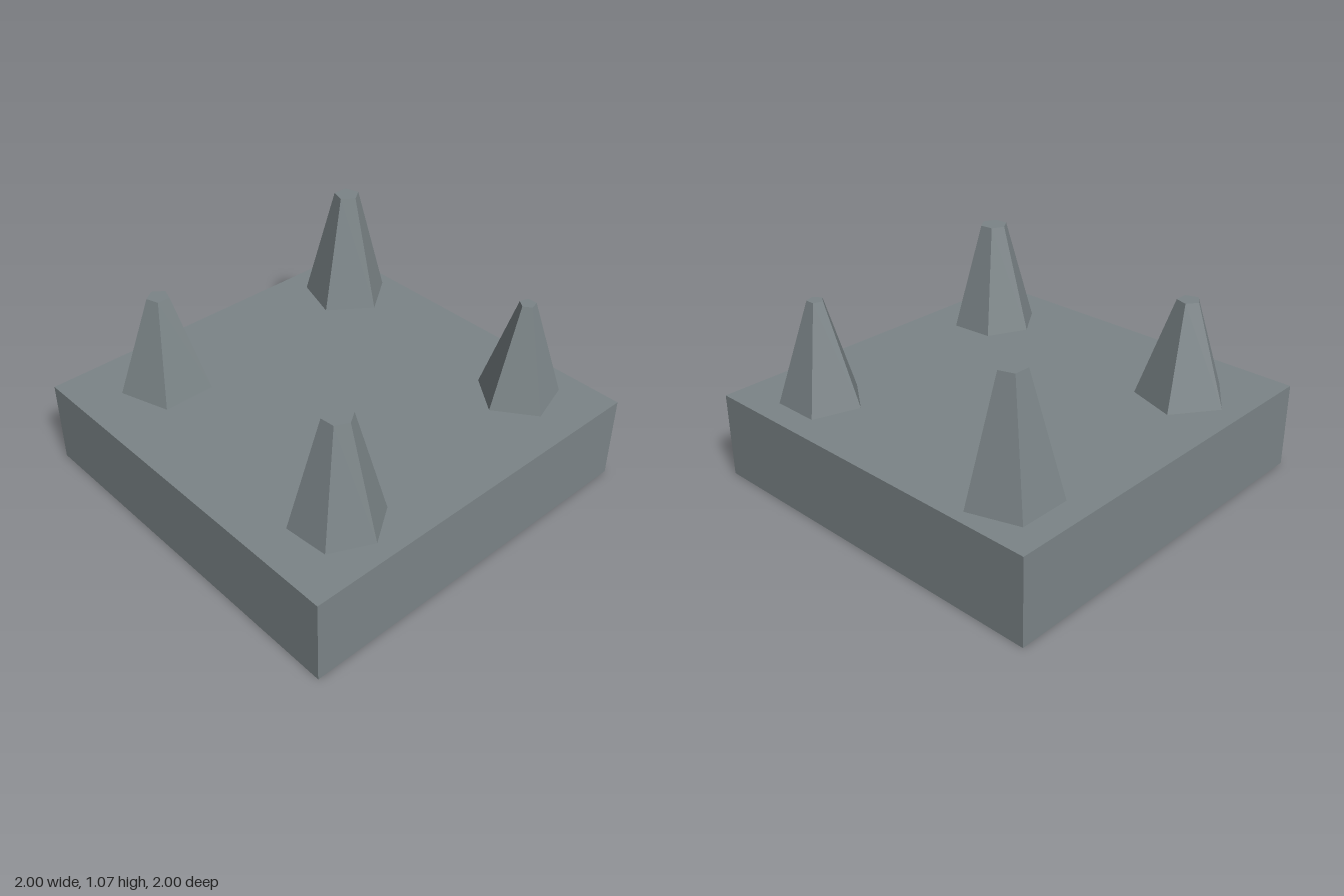
import * as THREE from 'three';

export function createModel() {
  const group = new THREE.Group();
  const stone = new THREE.MeshStandardMaterial({ color: 0x7b8487, flatShading: true, side: THREE.DoubleSide });
  stone.name = 'greyStone';
  const slabHeight = 0.45;

  // Hollow slab, open underneath: drop the bottom face of a box
  const slabGeometry = new THREE.BoxGeometry(2, slabHeight, 2);
  const index = Array.from(slabGeometry.index.array);
  index.splice(18, 6);
  slabGeometry.setIndex(index);
  slabGeometry.clearGroups();
  const slab = new THREE.Mesh(slabGeometry, stone);
  slab.name = 'slab';
  slab.position.y = slabHeight / 2;
  group.add(slab);

  // Tapered faceted spike with a flat tip; angle is that of one corner, from +z towards +x
  function addSpike(name, { x, z, top, sides, base, tip, angle }) {
    const h = top - slabHeight;
    const profile = [[base, 0], [tip, h], [0, h]].map(([r, y]) => new THREE.Vector2(r, y));
    const start = THREE.MathUtils.degToRad(angle);
    const spike = new THREE.Mesh(new THREE.LatheGeometry(profile, sides, start), stone);
    spike.name = name;
    spike.position.set(x, slabHeight, z);
    group.add(spike);
  }

  addSpike('backRightSpike', { x: -0.675, z: -0.715, top: 1.065, sides: 5, base: 0.231, tip: 0.068, angle: 90 });
  addSpike('backLeftSpike', { x: 0.611, z: -0.695, top: 0.98, sides: 5, base: 0.214, tip: 0.042, angle: 0 });
  addSpike('frontRightSpike', { x: -0.653, z: 0.551, top: 0.96, sides: 5, base: 0.236, tip: 0.058, angle: 270 });
  addSpike('frontLeftSpike', { x: 0.673, z: 0.591, top: 1.02, sides: 6, base: 0.232, tip: 0.073, angle: 94.6 });

  return group;
}
